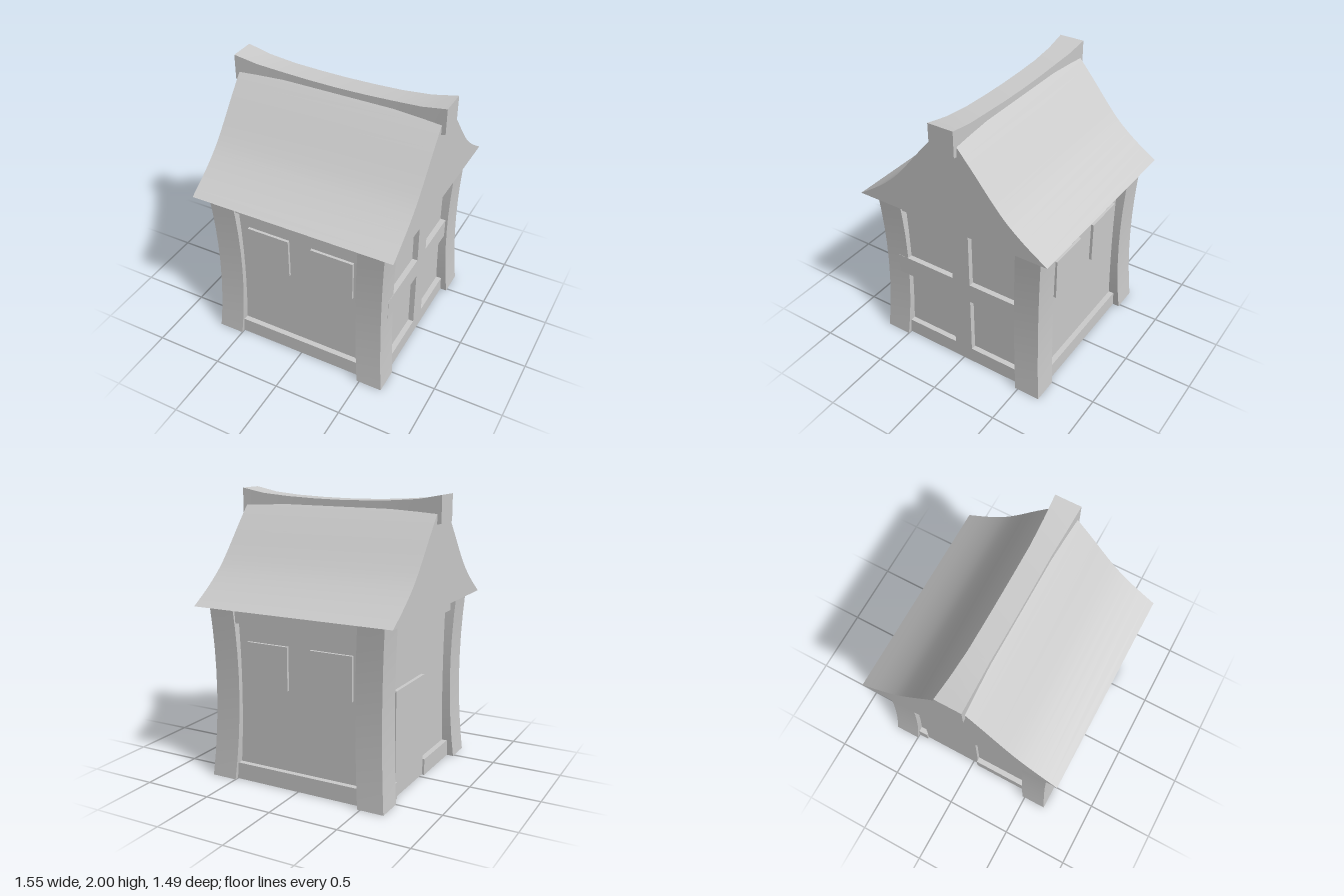
import * as THREE from 'three';
import { toCreasedNormals } from 'three/addons/utils/BufferGeometryUtils.js';

const material = new THREE.MeshStandardMaterial({ color: 0xcccccc });
const EAVE = 1.24; // height of the walls
const WALL = 0.6; // wall plane, measured from the centre
const BEAM = 0.64; // front plane of the timbers

function addMesh(parent, name, geometry) {
  const mesh = new THREE.Mesh(geometry, material);
  mesh.name = name;
  parent.add(mesh);
  return mesh;
}

// Box that stands out from the wall up to the plane z = front
function panel(parent, name, x0, x1, y0, y1, front) {
  const back = WALL - 0.04;
  const geometry = new THREE.BoxGeometry(x1 - x0, y1 - y0, front - back);
  geometry.translate((x0 + x1) / 2, (y0 + y1) / 2, (front + back) / 2);
  return addMesh(parent, name, geometry);
}

// Corner post that bows inwards towards the middle of the house
function postGeometry() {
  const geometry = new THREE.BoxGeometry(0.19, EAVE, 0.19, 1, 8, 1);
  geometry.translate(0.575, EAVE / 2, 0.595);
  const p = geometry.attributes.position;
  for (let i = 0; i < p.count; i++) {
    const y = p.getY(i);
    const bow = 0.0946 * y - 0.0698 * y * y;
    p.setX(i, p.getX(i) - bow);
    p.setZ(i, p.getZ(i) - bow);
  }
  geometry.computeVertexNormals();
  return geometry;
}

// Gable roof with concave slopes
function roofGeometry() {
  const slope = new THREE.SplineCurve([
    [0.745, 1.24], [0.59, 1.345], [0.45, 1.46], [0.34, 1.58], [0.21, 1.74], [0.09, 1.88], [0.05, 1.92],
  ].map(([z, y]) => new THREE.Vector2(z, y))).getPoints(16);
  const mirrored = slope.map((v) => new THREE.Vector2(-v.x, v.y)).reverse();
  const shape = new THREE.Shape([...slope, ...mirrored]);
  const geometry = new THREE.ExtrudeGeometry(shape, { depth: 1.49, bevelEnabled: false });
  geometry.translate(0, 0, -0.745);
  geometry.rotateY(Math.PI / 2);
  return toCreasedNormals(geometry, 0.4);
}

// Sagging ridge beam, taller and wider at its ends
function ridgeGeometry() {
  const segments = 8;
  const stations = [ // x, half width, bottom, top
    [0, 0.077, 1.755, 1.94], [0.2, 0.077, 1.757, 1.943], [0.4, 0.077, 1.765, 1.951],
    [0.6, 0.085, 1.78, 1.967], [0.775, 0.094, 1.815, 2],
  ];
  const geometry = new THREE.BoxGeometry(segments, 1, 1, segments, 1, 1);
  const p = geometry.attributes.position;
  for (let i = 0; i < p.count; i++) {
    const k = Math.round(p.getX(i));
    const [x, half, bottom, top] = stations[Math.abs(k)];
    p.setXYZ(i, Math.sign(k) * x, p.getY(i) > 0 ? top : bottom, Math.sign(p.getZ(i)) * half);
  }
  geometry.computeVertexNormals();
  return geometry;
}

export function createModel() {
  const house = new THREE.Group();
  house.name = 'house';

  // Core walls and floor
  const walls = new THREE.BoxGeometry(WALL * 2, EAVE - 0.005, WALL * 2);
  walls.translate(0, (EAVE + 0.005) / 2, 0);
  addMesh(house, 'walls', walls);

  // Four sides: each with a corner post, a top beam and a sill
  const post = postGeometry();
  ['frontSide', 'leftSide', 'backSide', 'rightSide'].forEach((name, k) => {
    const side = new THREE.Group();
    side.name = name;
    side.rotation.y = (k * Math.PI) / 2;
    house.add(side);

    addMesh(side, 'cornerPost', post);
    panel(side, 'topBeam', -0.55, 0.55, 1.13, EAVE, BEAM);

    if (name === 'rightSide') {
      // Door with the sill broken around it
      panel(side, 'sill', -0.55, -0.42, 0, 0.12, BEAM);
      panel(side, 'sill', 0.04, 0.55, 0, 0.12, BEAM);
      panel(side, 'door', -0.42, 0.04, 0.005, 0.75, 0.625);
    } else {
      panel(side, 'sill', -0.55, 0.55, 0, 0.12, BEAM);
    }

    if (name === 'leftSide') {
      // Timber frame
      panel(side, 'middleBeam', -0.55, 0.55, 0.57, 0.72, BEAM);
      panel(side, 'lowerStud', -0.072, 0.072, 0.12, 0.57, BEAM);
      panel(side, 'upperStud', -0.072, 0.072, 0.72, 1.13, BEAM);
    }

    if (name === 'frontSide' || name === 'backSide') {
      for (const x of [-0.245, 0.245]) {
        panel(side, 'window', x - 0.159, x + 0.159, 0.7, 1.005, 0.62);
      }
    }
  });

  addMesh(house, 'roof', roofGeometry());
  addMesh(house, 'ridgeBeam', ridgeGeometry());
  return house;
}
